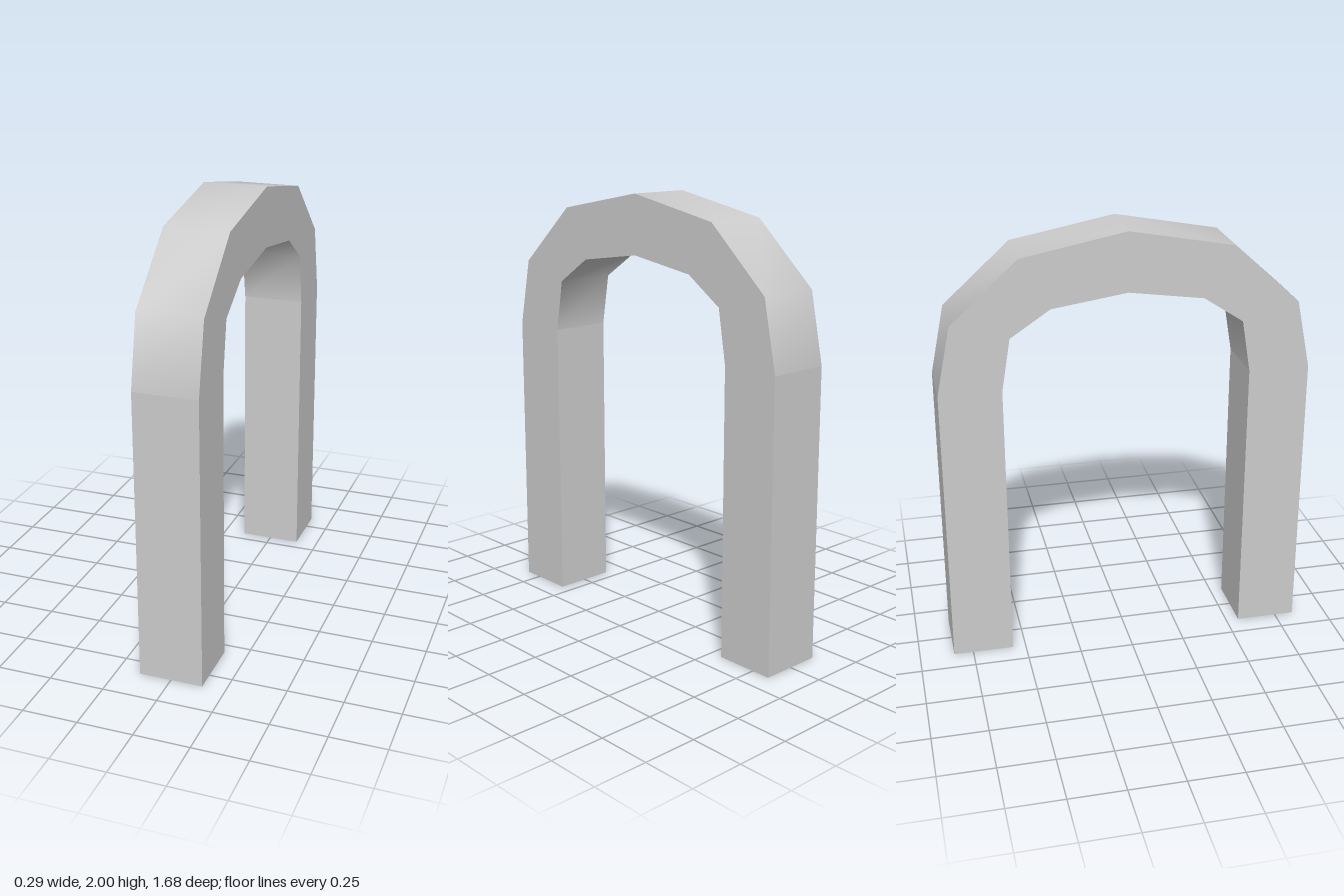
import * as THREE from 'three';
import { toCreasedNormals } from 'three/addons/utils/BufferGeometryUtils.js';

const WIDTH = 0.29;

// Half profiles as [z, y], from the foot up to the crown.
const OUTER = [[0.84, 0], [0.84, 1.32], [0.775, 1.635], [0.472, 1.91], [0, 2]];
const INNER = [[0.56, 0], [0.56, 1.32], [0.52, 1.56], [0.34, 1.68], [0, 1.73]];

// Mirrors a half profile into a full run from +z foot to -z foot.
function fullRun(half) {
  const mirrored = half.slice(0, -1).reverse().map(([z, y]) => [-z, y]);
  return [...half, ...mirrored].map(([z, y]) => new THREE.Vector2(z, y));
}

// Keeps the straight legs flat shaded while the arch stays smooth.
function flattenLegs(geometry) {
  const pos = geometry.attributes.position;
  const nor = geometry.attributes.normal;
  const tri = new THREE.Triangle();
  const n = new THREE.Vector3();
  for (let i = 0; i < pos.count; i += 3) {
    tri.setFromAttributeAndIndices(pos, i, i + 1, i + 2);
    tri.getNormal(n);
    if (Math.abs(n.z) > 0.999) {
      for (let k = 0; k < 3; k++) nor.setXYZ(i + k, n.x, n.y, n.z);
    }
  }
}

export function createModel() {
  const group = new THREE.Group();
  group.name = 'archway';

  // Closed outline: outer edge one way, inner edge back.
  const outline = new THREE.Shape([...fullRun(OUTER), ...fullRun(INNER).reverse()]);
  const extruded = new THREE.ExtrudeGeometry(outline, { depth: WIDTH, bevelEnabled: false });
  extruded.translate(0, 0, -WIDTH / 2);
  extruded.rotateY(-Math.PI / 2);

  const geometry = toCreasedNormals(extruded, 0.9);
  flattenLegs(geometry);

  const arch = new THREE.Mesh(geometry, new THREE.MeshStandardMaterial({ color: 0xcccccc }));
  arch.name = 'arch';
  group.add(arch);
  return group;
}
